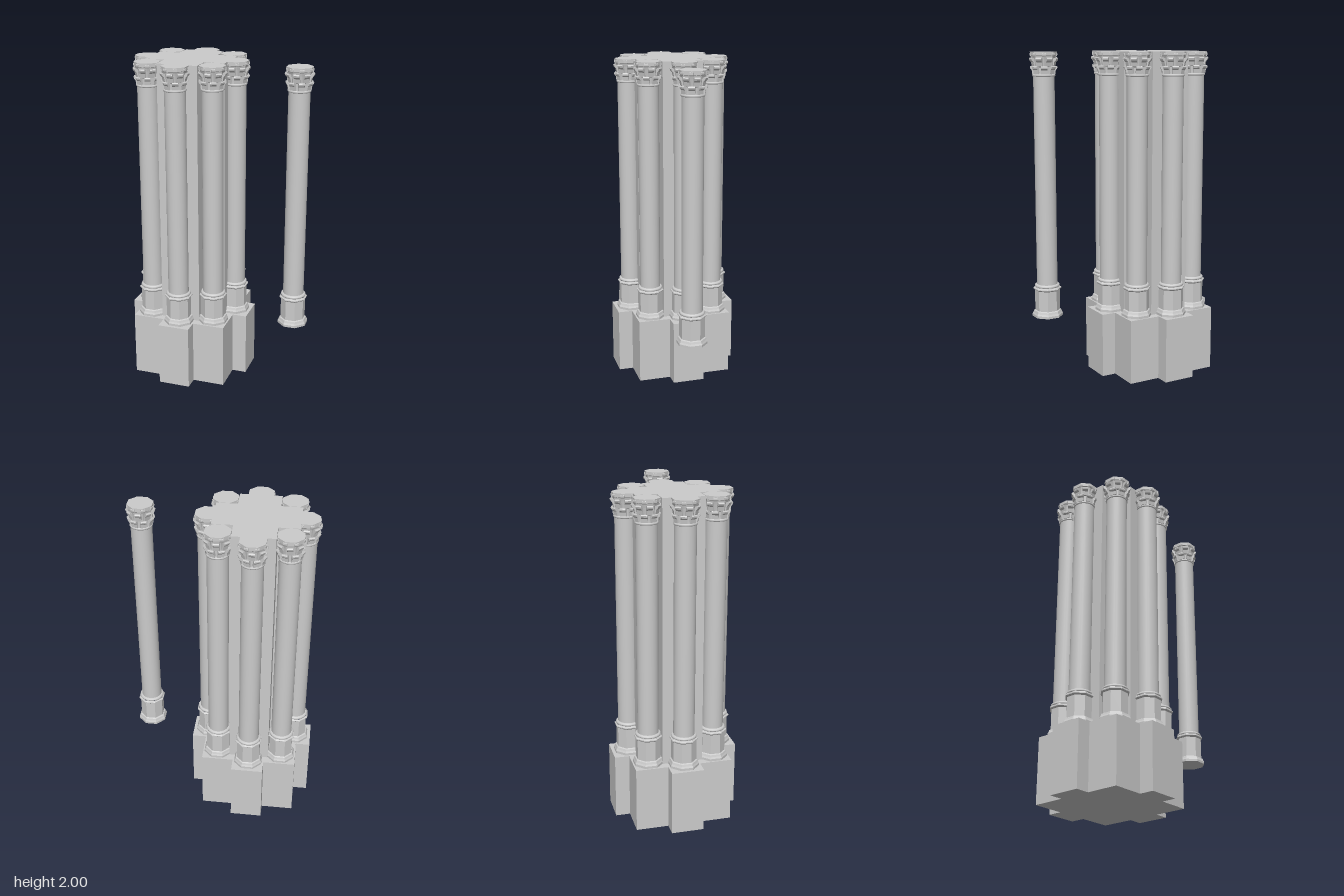
import * as THREE from 'three';

const grey = new THREE.MeshStandardMaterial({ color: 0xcccccc });
const facet = new THREE.MeshStandardMaterial({ color: 0xcccccc, flatShading: true });
const v2 = (pts) => pts.map(([x, y]) => new THREE.Vector2(x, y));

function mesh(name, geometry, material) {
  const m = new THREE.Mesh(geometry, material);
  m.name = name;
  return m;
}

// Upright prism whose plan is one quarter outline repeated four times
function crossPrism(quarter, y0, y1) {
  const pts = [];
  for (let k = 0; k < 4; k++) {
    for (const [x, y] of quarter) {
      pts.push(new THREE.Vector2(x, y).rotateAround(new THREE.Vector2(), k * Math.PI / 2));
    }
  }
  const g = new THREE.ExtrudeGeometry(new THREE.Shape(pts), { depth: y1 - y0, bevelEnabled: false });
  return g.rotateX(-Math.PI / 2).translate(0, y0, 0);
}

// Octagonal turning, profile given as [distance to flat side, height]
function octagon(profile) {
  const k = 1 / Math.cos(Math.PI / 8);
  return new THREE.LatheGeometry(v2(profile.map(([r, y]) => [r * k, y])), 8, Math.PI / 8);
}

// Leaf: a side profile [radius, height] extruded to a width, facing +x
function leaf(profile, width) {
  const g = new THREE.ExtrudeGeometry(new THREE.Shape(v2(profile)), { depth: width, bevelEnabled: false });
  return g.translate(0, 0, -width / 2);
}

const footGeo = octagon([[0, 0.4], [0.086, 0.4], [0.086, 0.414], [0.081, 0.424], [0.077, 0.436], [0.07, 0.44],
  [0.07, 0.565], [0.074, 0.568], [0.079, 0.573], [0.079, 0.579], [0.073, 0.583], [0.071, 0.588]]);
const ringGeo = new THREE.LatheGeometry(v2([[0.071, 0.586], [0.075, 0.589], [0.076, 0.594],
  [0.074, 0.6], [0.068, 0.604], [0.06, 0.604]]), 24);
const shaftGeo = new THREE.CylinderGeometry(0.063, 0.063, 1.3, 24, 1, true).translate(0, 1.23, 0);
const neckGeo = new THREE.LatheGeometry(v2([[0.06, 1.856], [0.066, 1.858], [0.069, 1.864],
  [0.066, 1.87], [0.06, 1.872]]), 24);
const bellGeo = octagon([[0.058, 1.868], [0.06, 1.92], [0.065, 1.955], [0.069, 1.975],
  [0.073, 1.978], [0.073, 2], [0, 2]]);
const lowerLeaf = leaf([[0.056, 1.872], [0.067, 1.872], [0.07, 1.895], [0.078, 1.903], [0.08, 1.912],
  [0.076, 1.918], [0.06, 1.914]], 0.036);
const upperLeaf = leaf([[0.056, 1.91], [0.067, 1.915], [0.072, 1.94], [0.082, 1.95], [0.085, 1.96],
  [0.08, 1.967], [0.062, 1.96]], 0.034);
const topBlock = leaf([[0.062, 1.972], [0.076, 1.972], [0.08, 1.98], [0.08, 1.99], [0.074, 1.994], [0.062, 1.994]], 0.022);

function column(name, x, z) {
  const g = new THREE.Group();
  g.name = name;
  g.position.set(x, 0, z);
  g.add(mesh('pedestal', footGeo, facet), mesh('baseRing', ringGeo, grey), mesh('shaft', shaftGeo, grey),
    mesh('neckRing', neckGeo, grey), mesh('capitalBell', bellGeo, facet));
  // Two alternating tiers of leaves and a row of small blocks under the top edge
  for (let i = 0; i < 8; i++) {
    const a = i * Math.PI / 4;
    const parts = [['lowerLeaf', lowerLeaf, a + Math.PI / 8], ['upperLeaf', upperLeaf, a], ['topBlock', topBlock, a + Math.PI / 8]];
    for (const [n, geo, angle] of parts) {
      const m = mesh(n, geo, facet);
      m.rotation.y = angle;
      g.add(m);
    }
  }
  return g;
}

export function createModel() {
  const model = new THREE.Group();
  model.name = 'clusteredPier';
  const pier = new THREE.Group();
  pier.name = 'pier';
  pier.position.x = -0.193;

  // Stepped base block and the stepped core above it
  pier.add(mesh('baseBlock', crossPrism([[0.383, -0.098], [0.383, 0.098], [0.295, 0.098], [0.295, 0.295], [0.098, 0.295]], 0, 0.4), facet));
  pier.add(mesh('core', crossPrism([[0.247, -0.123], [0.247, 0.123], [0.123, 0.123]], 0.4, 2), facet));

  // Engaged columns on the arms, corner columns in the recesses
  for (let k = 0; k < 4; k++) {
    const a = k * Math.PI / 2, b = a + Math.PI / 4;
    pier.add(column('armColumn', 0.277 * Math.cos(a), 0.277 * Math.sin(a)));
    pier.add(column('cornerColumn', 0.282 * Math.cos(b), 0.282 * Math.sin(b)));
  }
  model.add(pier, column('freeColumn', 0.484, 0.07));
  return model;
}
